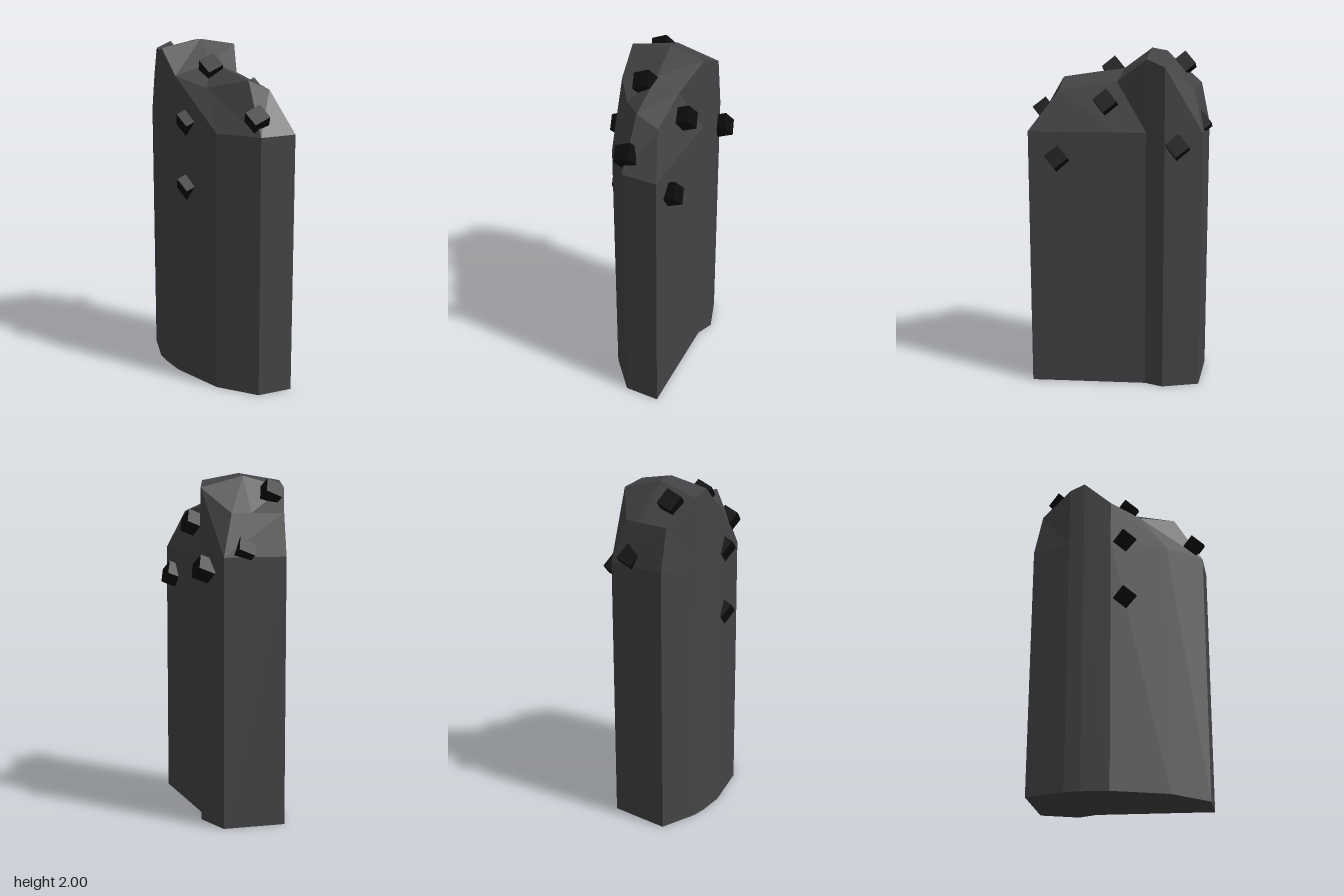
import * as THREE from 'three';

// One cross-section: right base, right wall top, right shoulder, crest, left shoulder, left wall top, left base.
function section([rx, rz], [lx, lz], shoulderR, crest, shoulderL) {
  return [[rx, 0, rz], [rx, 1.54, rz], shoulderR, crest, shoulderL, [lx, 1.54, lz], [lx, 0, lz]];
}

// Sections from front to back
const sections = [
  section([0.23, 0.51], [0.02, 0.51], [0.23, 1.54, 0.51], [0.02, 1.54, 0.51], [0.02, 1.54, 0.51]),
  section([0.213, 0.34], [-0.16, 0.31], [0.15, 1.77, 0.34], [0.02, 1.83, 0.34], [-0.15, 1.77, 0.15]),
  section([0.182, 0.01], [-0.275, -0.01], [0.1, 1.82, 0.01], [-0.05, 1.88, -0.01], [-0.275, 1.82, -0.01]),
  section([0.165, -0.17], [-0.295, -0.17], [0.165, 1.96, -0.17], [-0.05, 2, -0.17], [-0.295, 1.96, -0.17]),
  section([0.2, -0.28], [-0.295, -0.26], [0.2, 1.92, -0.28], [-0.05, 1.985, -0.26], [-0.295, 1.92, -0.26]),
  section([0.12, -0.49], [-0.24, -0.49], [0.06, 1.78, -0.43], [-0.05, 1.78, -0.44], [-0.24, 1.78, -0.44]),
];

function loftGeometry(rings) {
  const positions = [];
  const tri = (a, b, c) => {
    const t = new THREE.Triangle(...[a, b, c].map((p) => new THREE.Vector3(...p)));
    if (t.getArea() > 1e-7) positions.push(...a, ...b, ...c);
  };
  // Skin between neighbouring sections, underside included
  for (let i = 0; i < rings.length - 1; i++) {
    for (let j = 0; j < 7; j++) {
      const k = (j + 1) % 7;
      const a = rings[i][j], b = rings[i][k], c = rings[i + 1][k], d = rings[i + 1][j];
      tri(a, d, b);
      tri(b, d, c);
    }
  }
  // End faces
  const cap = [[0, 1, 5], [0, 5, 6], [1, 2, 4], [1, 4, 5], [2, 3, 4]];
  const front = rings[0], back = rings[rings.length - 1];
  for (const [a, b, c] of cap) {
    tri(front[a], front[b], front[c]);
    tri(back[a], back[c], back[b]);
  }
  const geometry = new THREE.BufferGeometry();
  geometry.setAttribute('position', new THREE.Float32BufferAttribute(positions, 3));
  geometry.computeVertexNormals();
  return geometry;
}

export function createModel() {
  const model = new THREE.Group();
  model.name = 'rockPillar';

  // Faceted stone body
  const stone = new THREE.MeshStandardMaterial({ color: 0x444446, flatShading: true });
  const body = new THREE.Mesh(loftGeometry(sections), stone);
  body.name = 'stoneBody';
  model.add(body);

  // Dark lumps half sunk into the stone
  const dark = new THREE.MeshStandardMaterial({ color: 0x0c0c0c, flatShading: true });
  const lump = new THREE.BoxGeometry(0.098, 0.098, 0.098);
  const spots = [
    [0.23, 1.385, 0.34], [0.17, 1.71, 0.065], [0.2, 1.47, -0.355],
    [0.02, 1.63, 0.455], [-0.085, 1.865, 0.06], [-0.19, 1.89, -0.34],
    [0, 1.575, -0.46], [-0.23, 1.57, 0.07], [-0.23, 1.19, 0.07],
  ];
  const lumps = new THREE.Group();
  lumps.name = 'darkLumps';
  spots.forEach((p, i) => {
    const mesh = new THREE.Mesh(lump, dark);
    mesh.name = `lump${i + 1}`;
    mesh.position.set(...p);
    mesh.rotation.set(0.68, 0.3, 0.25);
    lumps.add(mesh);
  });
  model.add(lumps);
  return model;
}
